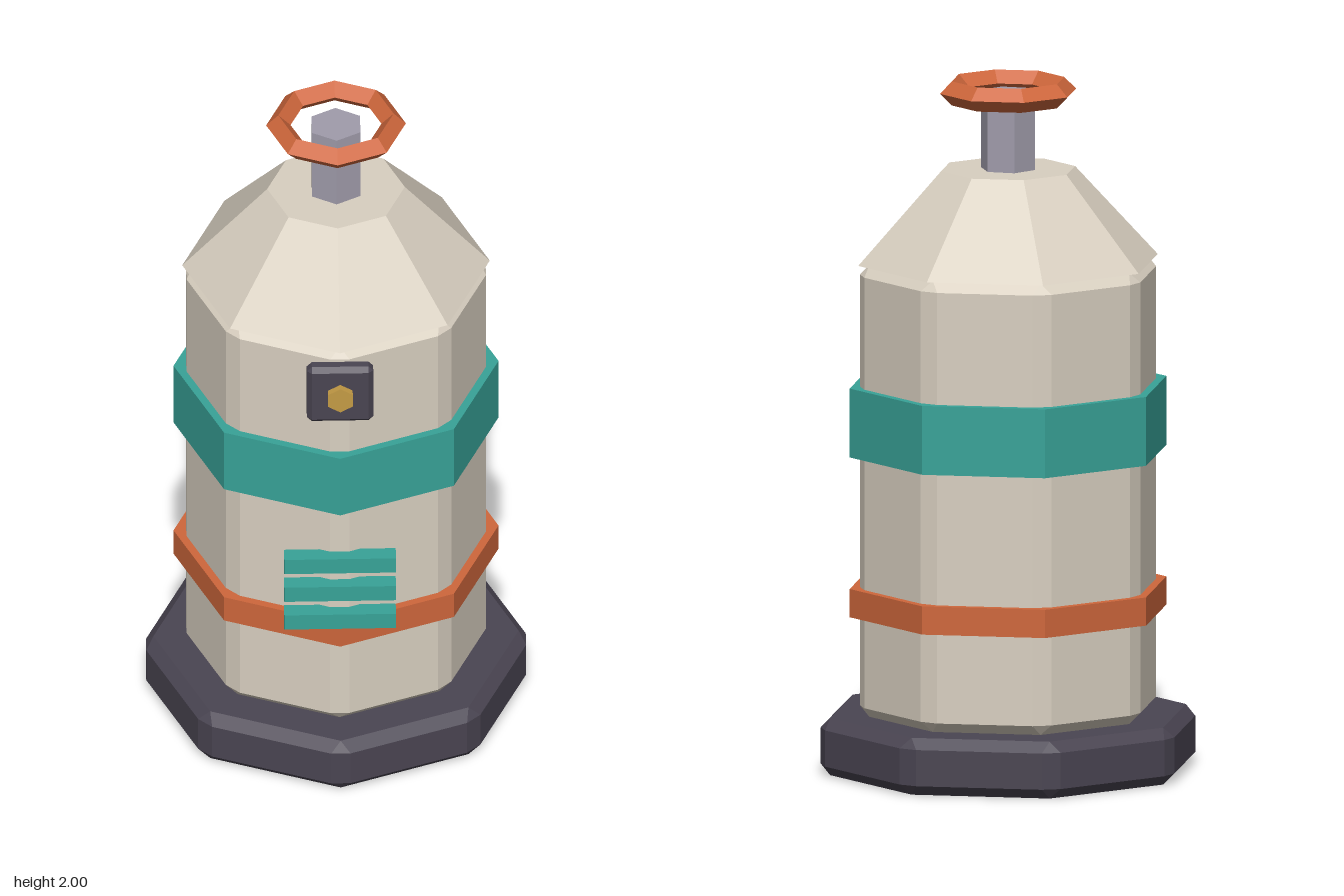
import * as THREE from 'three';
import { ConvexGeometry } from 'three/addons/geometries/ConvexGeometry.js';

const mat = (name, color) => {
  const m = new THREE.MeshStandardMaterial({ color, flatShading: true });
  m.name = name;
  return m;
};

// Corners of a regular polygon in the ground plane, first corner towards +z
const polygon = (n, r) => Array.from({ length: n }, (_, i) => {
  const a = (i / n) * Math.PI * 2;
  return new THREE.Vector2(r * Math.sin(a), r * Math.cos(a));
});

// Upright prism with every edge chamfered by b
function chamferedPrism(outline, y0, y1, b) {
  const points = [];
  const n = outline.length;
  outline.forEach((p, i) => {
    const e1 = outline[(i + 1) % n].clone().sub(p).normalize();
    const e2 = outline[(i + n - 1) % n].clone().sub(p).normalize();
    const inset = e1.clone().add(e2).multiplyScalar(b / Math.abs(e1.cross(e2))).add(p);
    for (const y of [y0, y1]) points.push(new THREE.Vector3(inset.x, y, inset.y));
    for (const e of [e1, e2]) {
      const q = p.clone().addScaledVector(e, b);
      for (const y of [y0 + b, y1 - b]) points.push(new THREE.Vector3(q.x, y, q.y));
    }
  });
  return new ConvexGeometry(points);
}

export function createModel() {
  const cream = mat('cream', 0xd9d0c1);
  const teal = mat('teal', 0x38a398);
  const orange = mat('orange', 0xcf673c);
  const dark = mat('charcoal', 0x4a4552);
  const steel = mat('steel', 0xa09cab);
  const brass = mat('brass', 0xc49b45);

  const model = new THREE.Group();
  model.name = 'tank';
  // The whole tank is turned a little, so one corner carries the fittings
  const turned = new THREE.Group();
  turned.name = 'turnedTank';
  turned.rotation.y = THREE.MathUtils.degToRad(20);
  model.add(turned);

  const add = (name, geometry, material, y = 0, z = 0) => {
    const mesh = new THREE.Mesh(geometry, material);
    mesh.name = name;
    mesh.position.set(0, y, z);
    turned.add(mesh);
    return mesh;
  };
  const drum = (name, rTop, rBottom, y0, y1, sides, material) =>
    add(name, new THREE.CylinderGeometry(rTop, rBottom, y1 - y0, sides), material, (y0 + y1) / 2);

  // Base, body and shoulder
  add('base', chamferedPrism(polygon(8, 0.555), 0, 0.165, 0.03), dark);
  add('body', chamferedPrism(polygon(8, 0.44), 0.165, 1.475, 0.03), cream);
  drum('shoulder', 0.197, 0.44, 1.475, 1.74, 8, cream);

  // Bands
  drum('upperBand', 0.465, 0.465, 0.92, 1.12, 8, teal);
  drum('lowerBand', 0.465, 0.465, 0.456, 0.538, 8, orange);

  // Valve stem and wheel
  drum('valveStem', 0.08, 0.08, 1.73, 1.965, 6, steel);
  const wheel = new THREE.TorusGeometry(0.165, 0.035, 4, 8).rotateX(Math.PI / 2);
  add('valveWheel', wheel, orange, 1.965);

  // Control panel with hexagonal knob
  const [w, d] = [0.095, 0.026];
  const plate = [[-w, -d], [w, -d], [w, d], [-w, d]].map(([x, z]) => new THREE.Vector2(x, z));
  add('panel', chamferedPrism(plate, -0.095, 0.095, 0.014), dark, 1.345, 0.445);
  const knob = new THREE.CylinderGeometry(0.041, 0.041, 0.045, 6).rotateX(Math.PI / 2);
  add('knob', knob, brass, 1.345, 0.47);

  // Vent slats
  for (let i = 0; i < 3; i++) {
    add('ventSlat', new THREE.BoxGeometry(0.32, 0.05, 0.05), teal, 0.545 + i * 0.098, 0.441);
  }
  return model;
}
